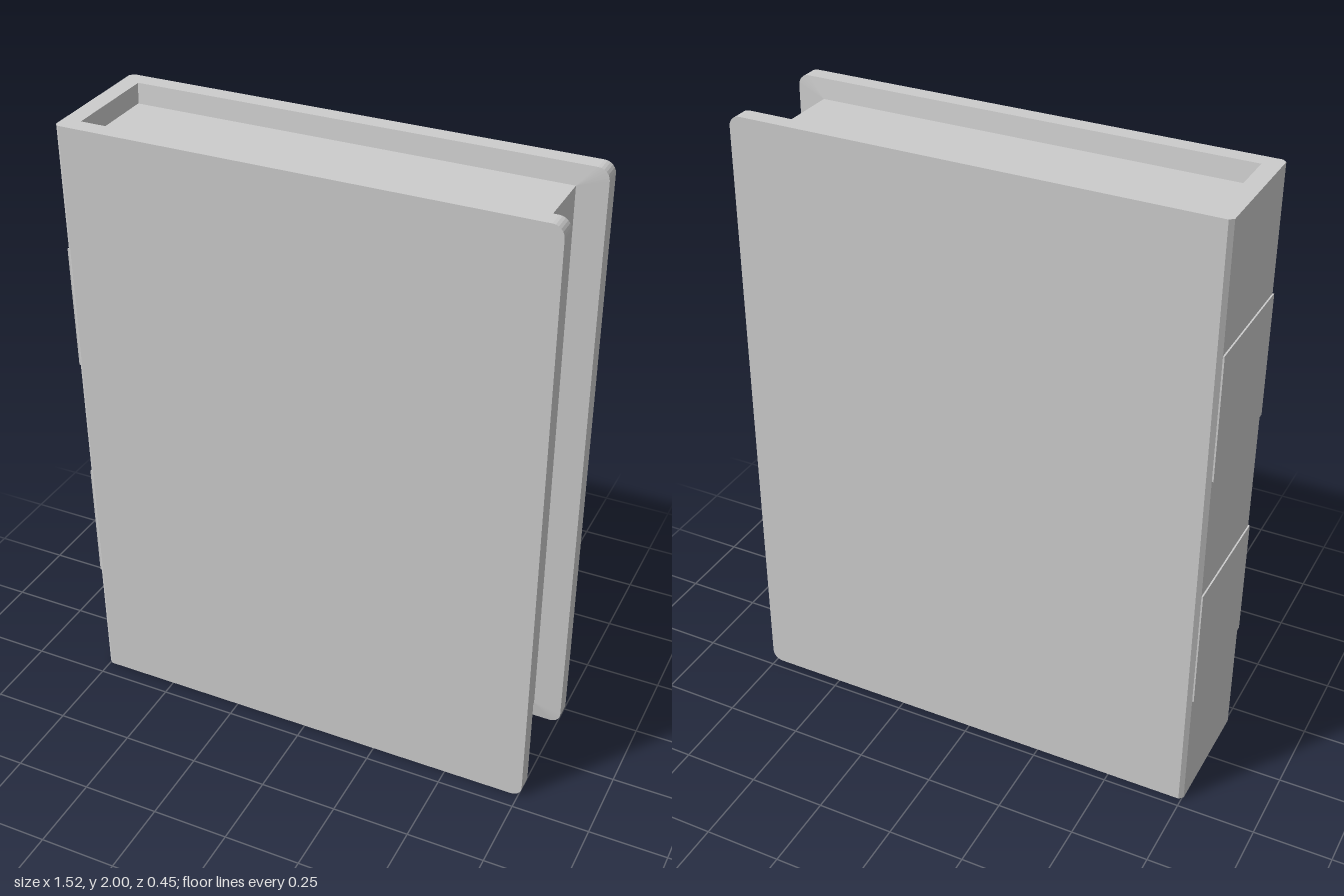
import * as THREE from 'three';
import { ConvexGeometry } from 'three/addons/geometries/ConvexGeometry.js';

const HALF_H = 0.997, HALF_T = 0.212, RIM = 0.158, INNER = 0.15;
const SPINE_X = -0.756, EDGE_X = 0.76, SPINE_IN = -0.7, PAGE_X = 0.67, PAGE_H = 0.935;

export function createModel() {
  const book = new THREE.Group();
  book.name = 'book';
  const material = new THREE.MeshStandardMaterial({ color: 0xcccccc, flatShading: true });

  const add = (name, geometry) => {
    const mesh = new THREE.Mesh(geometry, material);
    mesh.name = name;
    book.add(mesh);
    return mesh;
  };
  const box = (name, x0, x1, y0, y1, halfZ) => {
    add(name, new THREE.BoxGeometry(x1 - x0, y1 - y0, 2 * halfZ))
      .position.set((x0 + x1) / 2, (y0 + y1) / 2, 0);
  };

  // Board outline: square at the spine, rounded at the opening edge
  const outline = (left, z) => {
    const r = 0.035, points = [];
    for (const s of [-1, 1]) {
      points.push(new THREE.Vector3(left, s * HALF_H, z));
      for (let i = 0; i <= 6; i++) {
        const a = (i / 6) * Math.PI / 2;
        points.push(new THREE.Vector3(
          EDGE_X - r + r * Math.cos(a), s * (HALF_H - r + r * Math.sin(a)), z));
      }
    }
    return points;
  };

  // Two boards, bevelled at the spine and flared on the inside
  for (const side of [-1, 1]) {
    const points = [
      ...outline(SPINE_X + 0.013, side * HALF_T),
      ...outline(SPINE_X, side * (HALF_T - 0.012)),
      ...outline(SPINE_X, side * RIM),
    ];
    for (const x of [SPINE_IN, PAGE_X])
      for (const y of [-PAGE_H, PAGE_H]) points.push(new THREE.Vector3(x, y, side * INNER));
    add(side > 0 ? 'frontCover' : 'backCover', new ConvexGeometry(points));
  }

  // Spine, with two raised bands
  box('spine', SPINE_X, SPINE_IN, -HALF_H, HALF_H, RIM + 0.001);
  box('lowerSpineBand', -0.761, -0.74, -0.6, -0.2, 0.2);
  box('upperSpineBand', -0.761, -0.74, 0.2, 0.6, 0.2);

  // Page block
  box('pages', SPINE_IN - 0.01, PAGE_X, -PAGE_H, PAGE_H, INNER + 0.001);

  // Slight forward lean
  book.rotation.x = 0.0147;
  book.position.y = 1;
  const model = new THREE.Group();
  model.add(book);
  return model;
}
